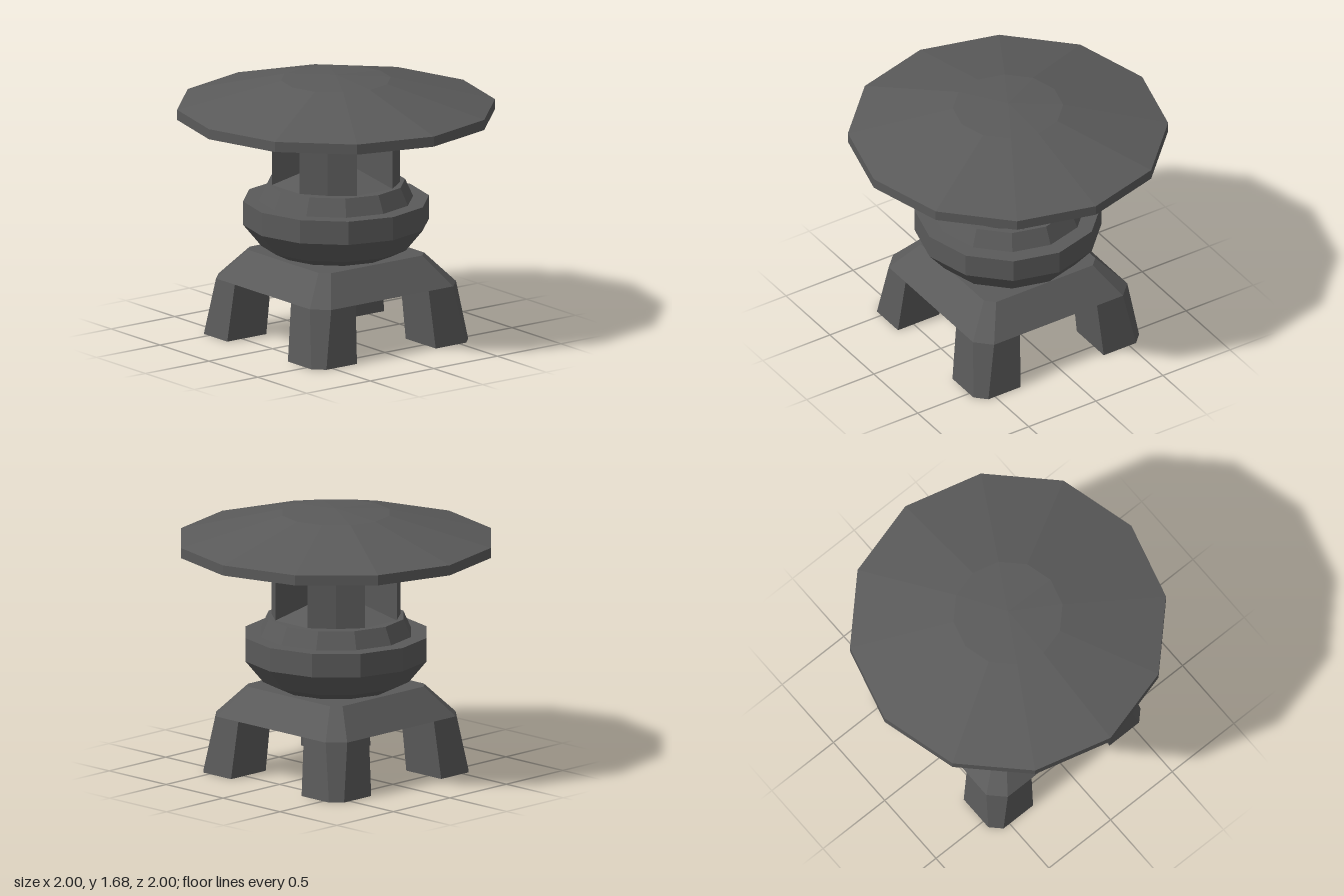
import * as THREE from 'three';

const stone = new THREE.MeshStandardMaterial({ color: 0x5a5a5a, flatShading: true });
const pane = new THREE.MeshStandardMaterial({ color: 0xcccccc, flatShading: true });

// Twelve-sided turned part; profile runs from bottom to top as [radius, y]
function turned(name, profile) {
  const points = profile.map(([r, y]) => new THREE.Vector2(r, y));
  const mesh = new THREE.Mesh(new THREE.LatheGeometry(points, 12), stone);
  mesh.name = name;
  return mesh;
}

// Solid between two rings of [x, y, z] corners, ordered from +x towards +z
function loft(name, bottom, top) {
  const n = bottom.length;
  const pos = [];
  const tri = (...corners) => corners.forEach((c) => pos.push(...c));
  for (let i = 0; i < n; i++) {
    const j = (i + 1) % n;
    tri(bottom[i], top[i], bottom[j]);
    tri(bottom[j], top[i], top[j]);
    if (i > 0 && j > 0) {
      tri(top[0], top[j], top[i]);
      tri(bottom[0], bottom[i], bottom[j]);
    }
  }
  const geometry = new THREE.BufferGeometry();
  geometry.setAttribute('position', new THREE.Float32BufferAttribute(pos, 3));
  geometry.computeVertexNormals();
  const mesh = new THREE.Mesh(geometry, stone);
  mesh.name = name;
  return mesh;
}

const ring = (outline, y) => outline.map(([x, z]) => [x, y, z]);

// Square of half width h whose corners are cut back to c
const cutSquare = (h, c) => [
  [h, -c], [h, c], [c, h], [-c, h], [-c, -h], [-h, -c], [-h, c], [c, -h],
].sort((a, b) => Math.atan2(a[1], a[0]) - Math.atan2(b[1], b[0]));

// Leg outline in the +x +z corner
const legOutline = (inner, outer, cut) => [
  [inner, inner], [outer, inner], [outer, cut], [cut, outer], [inner, outer],
];

export function createModel() {
  const group = new THREE.Group();
  group.name = 'stoneLantern';

  // Stand
  group.add(loft('standTop', ring(cutSquare(0.575, 0.48), 0.365), ring(cutSquare(0.415, 0.36), 0.55)));

  // Bowl-shaped platform with a ledge
  group.add(turned('platform', [
    [0, 0.55], [0.37, 0.55], [0.47, 0.6], [0.585, 0.74], [0.585, 0.89],
    [0.485, 0.89], [0.435, 1.0], [0, 1.0],
  ]));

  // Legs, light chamber pillars and the tapering window openings, four of each
  const pillar = [[0.06, 0.06], [0.395, 0.14], [0.285, 0.285], [0.14, 0.395]];
  const wedge = (front, back) => [
    [0.14, front, 0.395], [-0.14, front, 0.395], [-0.06, back, 0.06], [0.06, back, 0.06],
  ];
  for (let i = 0; i < 4; i++) {
    const side = new THREE.Group();
    side.name = 'quarter' + (i + 1);
    side.add(
      loft('leg', ring(legOutline(0.31, 0.617, 0.55), 0), ring(legOutline(0.287, 0.575, 0.48), 0.365)),
      loft('pillar', ring(pillar, 1.01), ring(pillar, 1.36)),
      loft('windowSill', wedge(1.01, 1.01), wedge(1.01, 1.11)),
      loft('windowHead', wedge(1.36, 1.26), wedge(1.36, 1.36)),
    );
    side.rotation.y = (i * Math.PI) / 2;
    group.add(side);
  }

  // Lamp in the middle of the light chamber
  const lamp = new THREE.Mesh(new THREE.BoxGeometry(0.12, 0.15, 0.12), pane);
  lamp.name = 'lamp';
  lamp.position.y = 1.185;
  group.add(lamp);

  // Collar under the roof
  group.add(turned('collar', [
    [0, 1.32], [0.4, 1.32], [0.575, 1.335], [0.63, 1.395], [0.645, 1.43], [0, 1.43],
  ]));

  // Wide roof
  group.add(turned('roof', [
    [0, 1.43], [1, 1.43], [1, 1.495], [0.345, 1.66], [0, 1.685],
  ]));

  return group;
}
